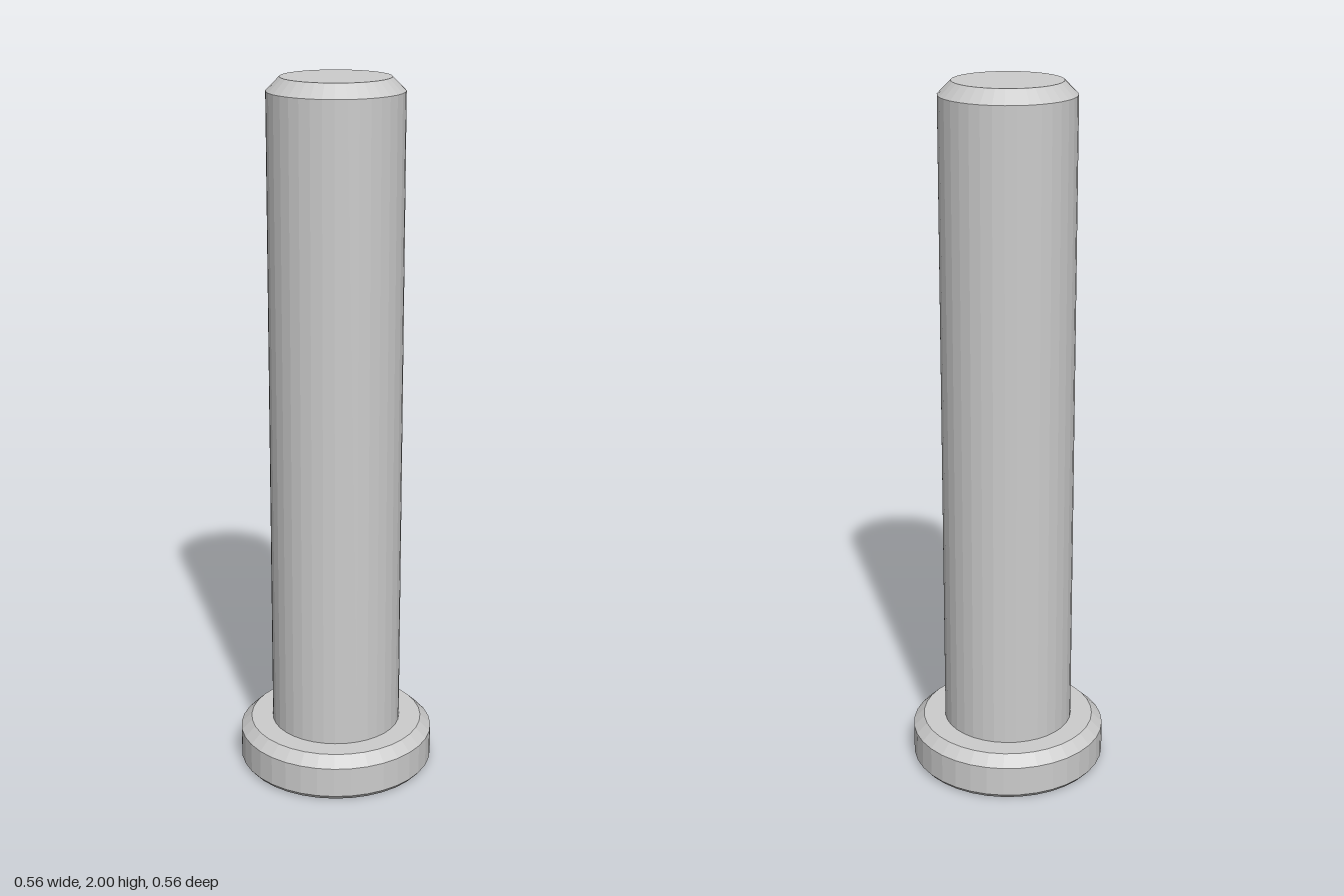
import * as THREE from 'three';

const SIDES = 36;
const HEAD_RADIUS = 0.281, FACE_RADIUS = 0.27, HEAD_HEIGHT = 0.13;
const SHAFT_RADIUS = 0.187;
const SOCKET_RADIUS = 0.107, SOCKET_DEPTH = 0.09;

export function createModel() {
  const group = new THREE.Group();
  const material = new THREE.MeshStandardMaterial({ color: 0xcccccc, flatShading: true });

  const add = (name, geometry) => {
    const mesh = new THREE.Mesh(geometry, material);
    mesh.name = name;
    group.add(mesh);
    return mesh;
  };
  const lathe = (profile, sides) =>
    new THREE.LatheGeometry(profile.map(([r, y]) => new THREE.Vector2(r, y)), sides);
  const polygon = (radius, sides) =>
    Array.from({ length: sides }, (_, i) => {
      const a = (i / sides) * Math.PI * 2;
      return new THREE.Vector2(radius * Math.cos(a), radius * Math.sin(a));
    });

  // Head: disc with a small lower and a larger upper chamfer
  add('head', lathe([
    [FACE_RADIUS, 0], [HEAD_RADIUS, 0.013], [HEAD_RADIUS, 0.1],
    [0.25, HEAD_HEIGHT], [SHAFT_RADIUS, HEAD_HEIGHT],
  ], SIDES));

  // Underside of the head, cut out for the hex socket
  const face = new THREE.Shape(polygon(FACE_RADIUS, SIDES));
  face.holes.push(new THREE.Path(polygon(SOCKET_RADIUS, 6)));
  add('headFace', new THREE.ShapeGeometry(face).rotateX(Math.PI / 2));

  // Hex socket: floor and inward-facing walls
  add('hexSocket', lathe([
    [0, SOCKET_DEPTH], [SOCKET_RADIUS, SOCKET_DEPTH], [SOCKET_RADIUS, 0],
  ], 6).rotateY(Math.PI / 6));

  // Shaft with chamfered tip
  add('shaft', lathe([
    [SHAFT_RADIUS, HEAD_HEIGHT], [SHAFT_RADIUS, 1.963], [0.15, 2], [0, 2],
  ], SIDES));

  return group;
}
